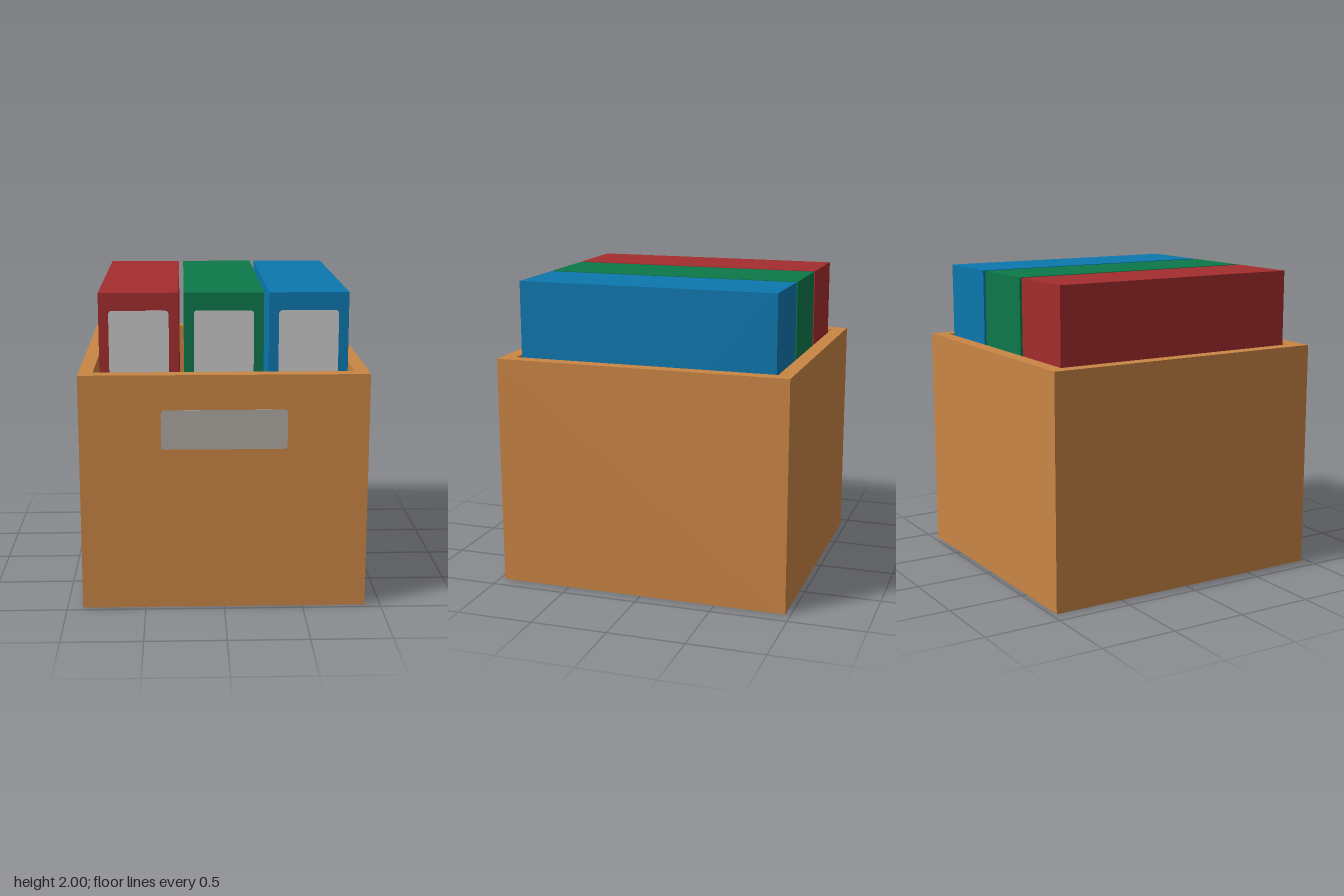
import * as THREE from 'three';

const mat = (name, color) => {
  const m = new THREE.MeshStandardMaterial({ color });
  m.name = name;
  return m;
};

// Rounded rectangle centred on (x, y)
function roundedRect(w, h, r) {
  const s = new THREE.Shape();
  const x = w / 2, y = h / 2;
  s.moveTo(-x + r, -y);
  s.lineTo(x - r, -y);
  s.quadraticCurveTo(x, -y, x, -y + r);
  s.lineTo(x, y - r);
  s.quadraticCurveTo(x, y, x - r, y);
  s.lineTo(-x + r, y);
  s.quadraticCurveTo(-x, y, -x, y - r);
  s.lineTo(-x, -y + r);
  s.quadraticCurveTo(-x, -y, -x + r, -y);
  return s;
}

export function createModel() {
  const group = new THREE.Group();
  const cardboard = mat('cardboard', 0xc98545);
  const paper = mat('label paper', 0xc9c9c9);
  const greyLabel = mat('box label grey', 0xaeaaa3);

  const add = (parent, name, geometry, material, x, y, z) => {
    const mesh = new THREE.Mesh(geometry, material);
    mesh.name = name;
    mesh.position.set(x, y, z);
    parent.add(mesh);
    return mesh;
  };
  const addLabel = (parent, name, w, h, material, x, y, z) =>
    add(parent, name, new THREE.ExtrudeGeometry(roundedRect(w, h, 0.025),
      { depth: 0.003, bevelEnabled: false, curveSegments: 4 }), material, x, y, z);

  // Open box: a rectangular ring of walls plus a floor
  const W = 0.9, D = 0.965, H = 1.51, iw = 0.81, id = 0.87, floor = 0.09;
  const box = new THREE.Group();
  box.name = 'box';
  const ring = new THREE.Shape([[-W, -D], [W, -D], [W, D], [-W, D]].map(p => new THREE.Vector2(...p)));
  ring.holes.push(new THREE.Path([[-iw, -id], [-iw, id], [iw, id], [iw, -id]].map(p => new THREE.Vector2(...p))));
  const walls = new THREE.ExtrudeGeometry(ring, { depth: H, bevelEnabled: false }).rotateX(-Math.PI / 2);
  add(box, 'boxWalls', walls, cardboard, 0, 0, 0);
  add(box, 'boxFloor', new THREE.BoxGeometry(iw * 2, floor, id * 2), cardboard, 0, floor / 2, 0);
  addLabel(box, 'boxLabel', 0.785, 0.25, greyLabel, 0, 1.165, D);
  group.add(box);

  // Three binders standing in the box, each with a spine label
  const bw = 0.493, bd = 0.85, bh = 2 - floor;
  [['red', 0xa42d2e], ['green', 0x0d784a], ['blue', 0x0d77ae]].forEach(([name, color], i) => {
    const binder = new THREE.Group();
    binder.name = name + 'Binder';
    binder.position.x = (i - 1) * 0.524;
    add(binder, 'binderBody', new THREE.BoxGeometry(bw, bh, bd * 2), mat(name, color), 0, floor + bh / 2, 0);
    addLabel(binder, 'spineLabel', 0.37, 0.8, paper, 0, 1.49, bd);
    group.add(binder);
  });

  return group;
}
